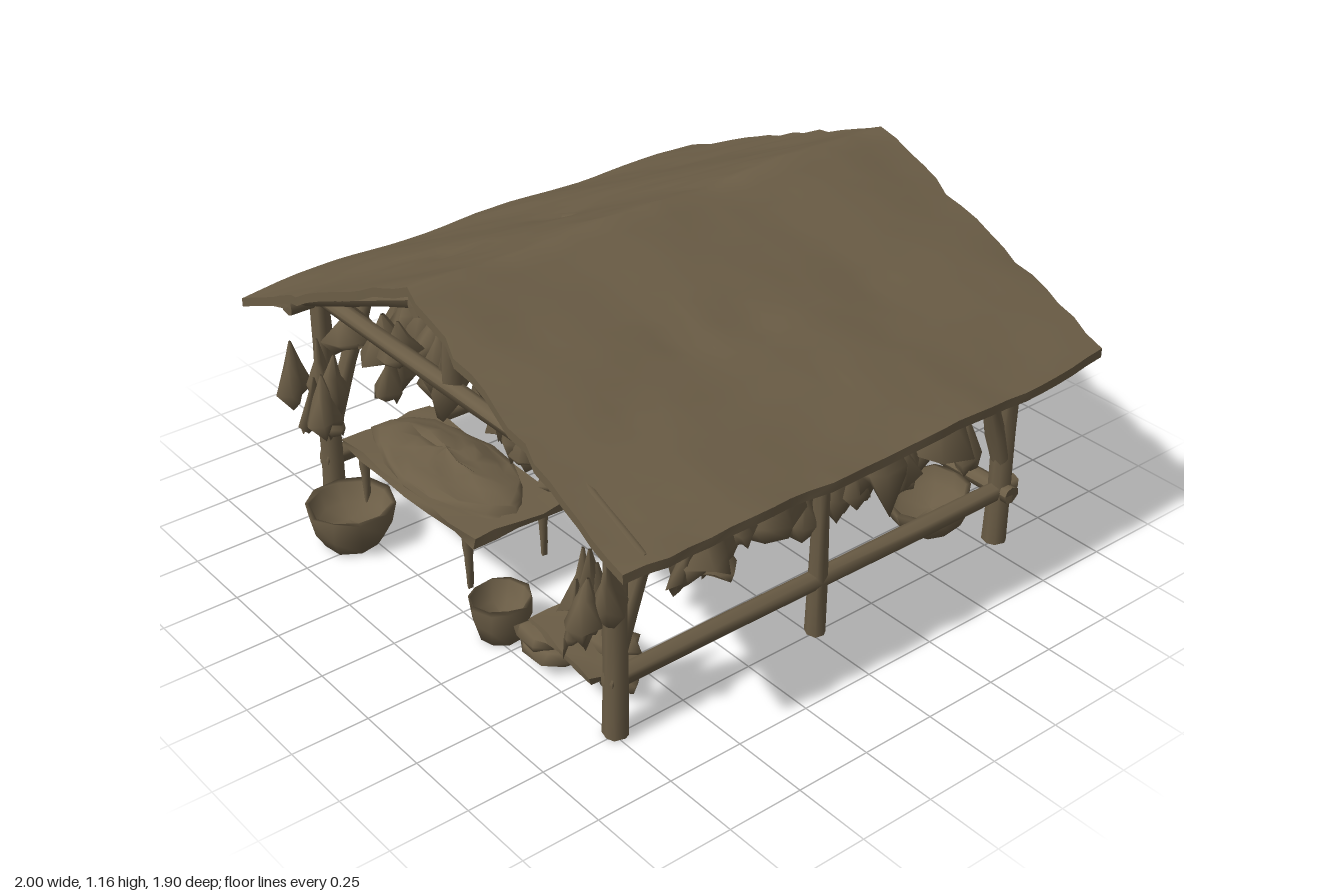
import * as THREE from 'three';

const brown = new THREE.MeshStandardMaterial({ color: 0x6b5d46, side: THREE.DoubleSide });
brown.name = 'weathered brown';

// Seeded random numbers and a repeatable position noise
let seed = 7;
const rnd = (a = 0, b = 1) => {
  seed = (seed * 16807) % 2147483647;
  return a + (b - a) * (seed / 2147483647);
};
const noise = (x, y, z) => {
  const s = Math.sin(x * 127.1 + y * 311.7 + z * 74.7) * 43758.5453;
  return (s - Math.floor(s)) * 2 - 1;
};
const roofY = (x) => 1.155 - 0.42 * Math.abs(x);

export function createModel() {
  const model = new THREE.Group();

  const add = (name, geo, x = 0, y = 0, z = 0) => {
    const mesh = new THREE.Mesh(geo, brown);
    mesh.name = name;
    mesh.position.set(x, y, z);
    model.add(mesh);
    return mesh;
  };

  // Move each vertex a little; shared corners move together
  const roughen = (geo, amount) => {
    const p = geo.attributes.position;
    for (let i = 0; i < p.count; i++) {
      const k = [p.getX(i), p.getY(i), p.getZ(i)].map((v) => Math.round(v * 500) / 500 + 0);
      p.setXYZ(i, p.getX(i) + amount * noise(k[0], k[1], k[2]),
        p.getY(i) + amount * noise(k[1], k[2], k[0] + 3),
        p.getZ(i) + amount * noise(k[2] + 5, k[0], k[1]));
    }
    geo.computeVertexNormals();
    return geo;
  };

  // Round timber between two points
  const beam = (name, a, b, r0, r1 = r0) => {
    const A = new THREE.Vector3(...a), B = new THREE.Vector3(...b);
    const dir = B.clone().sub(A);
    const geo = roughen(new THREE.CylinderGeometry(r1, r0, dir.length(), 8, 4), 0.004);
    const mesh = add(name, geo);
    mesh.position.copy(A).add(B).multiplyScalar(0.5);
    mesh.quaternion.setFromUnitVectors(new THREE.Vector3(0, 1, 0), dir.normalize());
  };

  // Sagging, ragged gable roof, narrower at its four corners, with a few dents
  const roof = new THREE.BoxGeometry(1.98, 0.03, 1.83, 32, 1, 26);
  const dents = [[-0.42, 0.07], [0.46, 0.05], [-0.38, 0.5], [0.42, 0.3], [0.22, 0.68], [0.5, -0.4], [-0.02, -0.2], [0.6, 0.6]];
  const rp = roof.attributes.position;
  for (let i = 0; i < rp.count; i++) {
    let x = rp.getX(i), z = rp.getZ(i);
    const gx = Math.round(x * 100), gz = Math.round(z * 100);
    const n = noise(gx, 1, gz);
    let y = rp.getY(i) + roofY(x) - 0.01 + 0.007 * Math.sin(z * 9 + x * 4) + 0.005 * n;
    for (const [dx, dz] of dents) y -= 0.02 * Math.exp(-((x - dx) ** 2 + (z - dz) ** 2) / 0.003);
    x *= 1 - 0.035 * Math.abs(z) ** 5;
    if (Math.abs(x) > 0.98) x += 0.01 * n;
    if (Math.abs(z) > 0.9) z += 0.01 * noise(gx, 2, gz);
    rp.setXYZ(i, x, y, z - 0.03);
  }
  roof.computeVertexNormals();
  add('roof', roof);

  // Ragged boards under the eaves, hanging lower on the right of the front
  for (const s of [-1, 1]) {
    for (let i = 0; i < 6; i++) {
      const b = add('eaveBoard', roughen(new THREE.BoxGeometry(0.19, 0.018, 0.27, 3, 1, 3), 0.008),
        s * 0.87, (s < 0 ? 0.73 : 0.755) + rnd(-0.008, 0.008), -0.74 + i * 0.285);
      b.rotation.z = -s * 0.4;
    }
  }

  // Posts, rails, plates, braces and rafters on each side
  const front = 0.74, back = -0.8;
  for (const s of [-1, 1]) {
    const x = s * 0.745;
    beam('cornerPost', [x, 0.01, front], [x, 0.81, front], 0.038, 0.032);
    beam('cornerPost', [x, 0.01, back], [x, 0.81, back], 0.038, 0.032);
    beam('sidePost', [x, 0.01, -0.02], [x, 0.78, -0.02], 0.034, 0.026);
    beam('sideRail', [x, 0.2, 0.77], [x, 0.2, -0.86], 0.029);
    beam('wallPlate', [s * 0.75, 0.785, 0.85], [s * 0.75, 0.785, -0.9], 0.03);
    beam('brace', [x, 0.3, front], [x, 0.76, 0.57], 0.03);
    beam('brace', [x, 0.3, back], [x, 0.76, -0.65], 0.03);
    for (const z of [0.8, 0, -0.85]) {
      beam('rafter', [0, 1.11, z], [s * 0.94, 0.725, z], 0.032, 0.026);
    }
  }
  beam('backRail', [-0.8, 0.2, back], [0.8, 0.2, back], 0.028);
  beam('ridgeBeam', [0, 1.1, 0.86], [0, 1.1, -0.93], 0.032);
  for (const z of [front, -0.02, back]) beam('tieBeam', [-0.78, 0.79, z], [0.78, 0.79, z], 0.026);
  beam('backPost', [0, 0.01, back], [0, 1.1, back], 0.036, 0.032);
  beam('kingPost', [0, 0.82, front], [0, 1.1, front], 0.034, 0.026);

  // Drying pieces: pointed at the top, wide and ragged at the bottom
  const hang = (name, x, top, z, len, r) => {
    const sides = 7, rings = [[0, 0.08], [0.35, 0.5], [0.75, 1], [1, 0.7]];
    const pos = [], idx = [];
    const turn = rnd(0, 6), squash = rnd(0.5, 0.95), lean = rnd(-0.05, 0.05);
    rings.forEach(([t, w], j) => {
      for (let i = 0; i < sides; i++) {
        const a = turn + (i / sides) * Math.PI * 2, q = r * w * rnd(0.55, 1.25);
        const drop = j === 3 ? rnd(-0.25, 0.12) : j === 2 ? rnd(-0.1, 0.08) : 0;
        pos.push(Math.cos(a) * q * squash + lean * t, -len * (t + drop), Math.sin(a) * q);
        if (j < 3) {
          const p = j * sides + i, n = j * sides + (i + 1) % sides;
          idx.push(p, n, p + sides, n, n + sides, p + sides);
        }
      }
    });
    pos.push(lean, -len * 0.75, 0);
    const rim = 3 * sides;
    for (let i = 0; i < sides; i++) idx.push(rim + i, rim + (i + 1) % sides, 4 * sides);
    const geo = new THREE.BufferGeometry();
    geo.setAttribute('position', new THREE.Float32BufferAttribute(pos, 3));
    geo.setIndex(idx);
    geo.computeVertexNormals();
    add(name, geo, x, top, z);
  };

  // Upper rows under the roof
  for (let i = 0; i < 12; i++) {
    const x = -0.66 + i * 0.12;
    for (let j = 0; j < 9; j++) {
      const z = 0.64 - j * 0.165 + rnd(-0.04, 0.04);
      const top = Math.min(roofY(x) - 0.09, 1.03) - rnd(0, 0.14);
      hang('upperDryingPiece', x + rnd(-0.04, 0.04), top, z, Math.max(0.15, top - rnd(0.6, 0.68)), rnd(0.07, 0.105));
    }
  }
  // Lower bunches, gathered in four fans along the depth
  const fans = [0.42, 0.14, -0.26, -0.53];
  for (const x of [-0.43, -0.22, -0.1, 0.02, 0.13, 0.41, 0.51]) {
    for (const z of fans) {
      hang('lowerDryingPiece', x + rnd(-0.04, 0.04), rnd(0.6, 0.69), z + rnd(-0.07, 0.07), rnd(0.17, 0.26), rnd(0.055, 0.09));
    }
  }
  // Fans along both sides, bunches at the front corners
  for (const s of [-1, 1]) {
    for (const z of fans) {
      hang('sideDryingPiece', s * rnd(0.7, 0.75), 0.73, z, rnd(0.31, 0.35), 0.11);
      for (const d of [-0.12, -0.06, 0.06, 0.12]) {
        hang('sideDryingPiece', s * rnd(0.66, 0.79), rnd(0.54, 0.64), z + d, rnd(0.17, 0.22), rnd(0.055, 0.075));
      }
    }
    for (let i = 0; i < 6; i++) {
      hang('cornerDryingPiece', s * rnd(0.62, 0.81), rnd(0.54, 0.66), rnd(0.74, 0.84), rnd(0.18, 0.27), rnd(0.045, 0.07));
    }
  }

  // Tables covered by a heap, on tapered legs
  const table = (name, x, z, w, d) => {
    const h = 0.275;
    add(name + 'Top', roughen(new THREE.BoxGeometry(w, 0.025, d, 6, 1, 4), 0.008), x, h, z);
    const heap = new THREE.SphereGeometry(1, 16, 7, 0, Math.PI * 2, 0, Math.PI / 2);
    heap.scale(w * 0.48, 0.055, d * 0.5);
    add(name + 'Heap', roughen(heap, 0.014), x - 0.02, h + 0.01, z);
    for (const sx of [-1, 1]) for (const sz of [-1, 1]) {
      const lx = x + sx * (w / 2 - 0.08), lz = z + sz * (d / 2 - 0.03);
      beam(name + 'Leg', [lx, 0.06, lz], [lx, h, lz], 0.007, 0.022);
    }
  };
  table('frontTable', -0.32, 0.56, 0.74, 0.34);
  table('backTable', -0.38, -0.4, 0.62, 0.46);

  // Open tubs; the one at the back leans
  const tub = (x, z, r, h, y = 0.015, tilt = 0) => {
    const pts = [[0, 0], [r * 0.7, 0], [r * 0.92, h * 0.45], [r, h], [r * 0.88, h], [r * 0.75, h * 0.5], [0, h * 0.45]];
    const geo = new THREE.LatheGeometry(pts.map((p) => new THREE.Vector2(...p)), 10);
    add('tub', roughen(geo, 0.006), x, y, z).rotation.x = tilt;
  };
  tub(-0.55, 0.8, 0.145, 0.13);
  tub(0.16, 0.72, 0.1, 0.125);
  tub(0.58, -0.68, 0.14, 0.11, 0.05, 0.25);
  tub(-0.61, -0.51, 0.11, 0.11);

  // Heap of goods and a slanted board on the ground
  for (let i = 0; i < 7; i++) {
    const geo = new THREE.SphereGeometry(1, 8, 6);
    geo.scale(rnd(0.09, 0.13), rnd(0.03, 0.045), rnd(0.06, 0.1));
    const m = add('groundHeap', roughen(geo, 0.014), 0.35 + (i % 4) * 0.075, 0.055 + (i > 3 ? 0.045 : 0), rnd(0.55, 0.7));
    m.rotation.y = rnd(-0.5, 0.5);
  }
  const board = add('slantedBoard', roughen(new THREE.BoxGeometry(0.3, 0.02, 0.2, 4, 1, 3), 0.008), 0.46, 0.115, 0.62);
  board.rotation.z = -0.2;

  return model;
}
